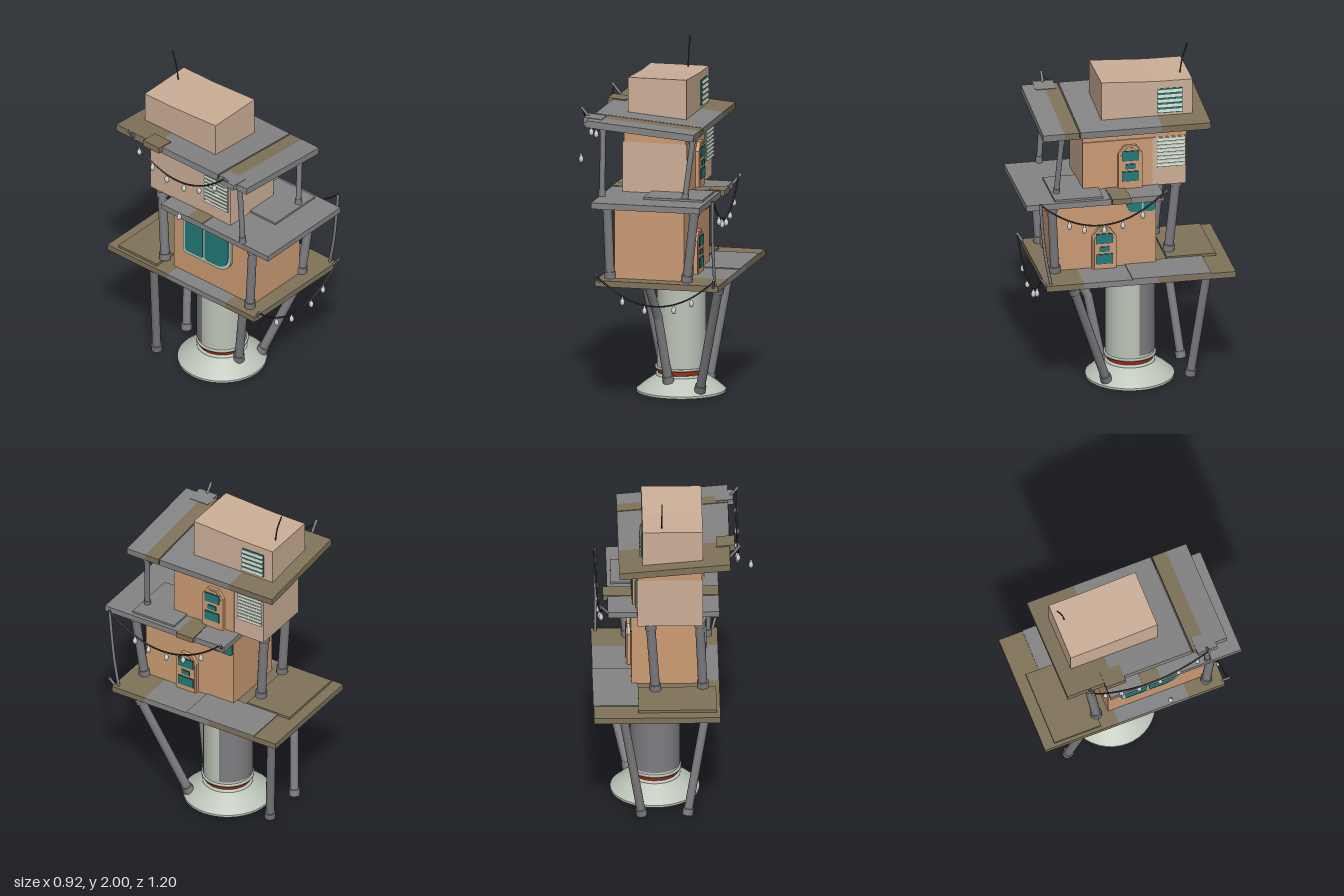
import * as THREE from 'three';

const paint = (name, color) => Object.assign(new THREE.MeshStandardMaterial({ color, side: THREE.DoubleSide }), { name });

export function createModel() {
  const root = new THREE.Group();
  root.name = 'stiltHouse';
  const grey = paint('deck grey', 0x858585);
  const brown = paint('board brown', 0x80735a);
  const tan = paint('pale tan wall', 0xcdb098);
  const orange = paint('orange tan wall', 0xcd9c74);
  const pale = paint('pale green metal', 0xbcc4b8);
  const red = paint('red ring', 0x9a2c14);
  const teal = paint('teal glass', 0x217a7a);
  const steel = paint('post grey', 0x7e7e82);
  const dark = paint('cable dark', 0x3c3c40);
  const bulbMat = paint('bulb white', 0xd2d4d2);

  const V = (x, y, z) => new THREE.Vector3(x, y, z);
  function add(name, geo, mat, parent = root) {
    const m = new THREE.Mesh(geo, mat);
    m.name = name;
    parent.add(m);
    return m;
  }
  // box given by its limits
  function box(name, mat, x0, x1, y0, y1, z0, z1, parent) {
    const g = new THREE.BoxGeometry(x1 - x0, y1 - y0, z1 - z0);
    return add(name, g.translate((x0 + x1) / 2, (y0 + y1) / 2, (z0 + z1) / 2), mat, parent);
  }
  // side outline of [z, y] points, extruded along x from x0 to x1
  function slab(name, mat, pts, x0, x1) {
    const s = new THREE.Shape(pts.map(p => new THREE.Vector2(p[0], p[1])));
    const g = new THREE.ExtrudeGeometry(s, { depth: x1 - x0, bevelEnabled: false });
    return add(name, g.rotateY(-Math.PI / 2).translate(x1, 0, 0), mat);
  }
  function rod(name, mat, a, b, r0, r1 = r0, parent = root, sides = 14) {
    const m = add(name, new THREE.CylinderGeometry(r1, r0, a.distanceTo(b), sides), mat, parent);
    m.position.copy(a).lerp(b, 0.5);
    m.quaternion.setFromUnitVectors(V(0, 1, 0), b.clone().sub(a).normalize());
    return m;
  }
  // post through several points, with a collar at both ends
  function post(name, pts, r) {
    const g = new THREE.Group();
    g.name = name;
    root.add(g);
    for (let i = 1; i < pts.length; i++) {
      rod('shaft', steel, pts[i - 1], pts[i], r, r, g);
      if (i < pts.length - 1) add('joint', new THREE.SphereGeometry(r, 14, 8), steel, g).position.copy(pts[i]);
    }
    const n = pts.length;
    const cap = (a, b) => rod('collar', steel, a, a.clone().add(b.clone().sub(a).setLength(0.04)), r * 1.25, r * 1.25, g);
    cap(pts[0], pts[1]);
    cap(pts[n - 1], pts[n - 2]);
  }

  // flared foot, red ring and central tube
  const lathe = (name, mat, prof) =>
    add(name, new THREE.LatheGeometry(prof.map(p => new THREE.Vector2(p[0], p[1])), 40), mat).position.set(0.1, 0, -0.055);
  lathe('flaredFoot', pale, [[0.255, 0.005], [0.255, 0.018]]);
  lathe('flaredSkirt', pale, [[0.255, 0.018], [0.21, 0.056], [0.145, 0.1]]);
  lathe('lowerCollar', pale, [[0.145, 0.1], [0.145, 0.113], [0.13, 0.113]]);
  lathe('redRing', red, [[0.133, 0.11], [0.133, 0.142]]);
  lathe('upperCollar', pale, [[0.13, 0.14], [0.15, 0.14], [0.15, 0.153], [0.14, 0.153]]);
  lathe('centralTube', pale, [[0.14, 0.15], [0.14, 0.7]]);
  const panel = new THREE.CylinderGeometry(0.145, 0.145, 0.52, 24, 1, true, Math.PI * 0.565, Math.PI * 0.87);
  add('tubeBackPanel', panel, steel).position.set(0.1, 0.43, -0.055);

  // slanted legs under the lower deck
  post('frontLeftLeg', [V(0.25, 0.04, 0.11), V(0.42, 0.7, 0.34)], 0.026);
  post('frontRightLeg', [V(0.065, 0.08, 0.1), V(0.02, 0.47, 0.17), V(-0.015, 0.7, 0.28)], 0.026);
  post('backLeftLeg', [V(0.18, 0.005, -0.39), V(0.29, 0.7, -0.47)], 0.025);
  post('backRightLeg', [V(-0.08, 0.005, -0.39), V(-0.2, 0.7, -0.31)], 0.025);

  // lower deck
  box('lowerDeckFront', brown, -0.265, 0.455, 0.7, 0.735, 0.28, 0.5);
  box('lowerDeckMiddle', grey, -0.265, 0.455, 0.7, 0.735, -0.15, 0.28);
  box('lowerDeckBack', brown, -0.265, 0.455, 0.7, 0.735, -0.6, -0.15);
  box('lowerDeckSheet', grey, 0.2, 0.457, 0.735, 0.741, -0.455, 0);
  box('lowerDeckBoard', brown, -0.245, 0.2, 0.735, 0.75, -0.535, -0.25);

  // lower room
  box('lowerRoom', orange, -0.175, 0.235, 0.735, 1.17, -0.18, 0.41);

  // chamfered door with three panes on the +x wall
  function door(x, y, z, h) {
    const w = 0.07;
    const outline = (k, t) => [[z - k, y], [z + k, y], [z + k, y + t - 0.05], [z + k - 0.035, y + t], [z - k + 0.035, y + t], [z - k, y + t - 0.05]];
    slab('doorFrame', orange, outline(w, h), x, x + 0.022);
    slab('door', orange, outline(w - 0.012, h - 0.012), x + 0.022, x + 0.026);
    for (const [up, hw, hh] of [[h - 0.06, 0.047, 0.028], [h - 0.125, 0.026, 0.013], [h - 0.185, 0.047, 0.028]]) {
      box('doorPaneFrame', dark, x + 0.026, x + 0.028, y + up - hh - 0.003, y + up + hh + 0.003, z - hw - 0.003, z + hw + 0.003);
      box('doorPane', teal, x + 0.028, x + 0.031, y + up - hh, y + up + hh, z - hw, z + hw);
    }
  }
  door(0.235, 0.735, 0.125, 0.245);
  door(0.205, 1.2, -0.033, 0.265);

  // windows with one rounded lower corner
  function windowPlate(name, mat, z0, z1, y0, y1, c, x0, x1) {
    const pts = [[z0, y0 + 0.012], [z0 + 0.012, y0]];
    for (let i = 0; i <= 6; i++) {
      const a = -Math.PI / 2 + i / 6 * Math.PI / 2;
      pts.push([z1 - c + c * Math.cos(a), y0 + c + c * Math.sin(a)]);
    }
    pts.push([z1, y1], [z0, y1]);
    slab(name, mat, pts, x0, x1);
  }
  windowPlate('sideWindowFrame', pale, -0.1, 0.26, 0.88, 1.14, 0.1, -0.19, -0.175);
  windowPlate('sideWindowPane', teal, -0.08, 0.05, 0.9, 1.12, 0.015, -0.194, -0.19);
  windowPlate('sideWindowPane', teal, 0.065, 0.24, 0.9, 1.12, 0.085, -0.194, -0.19);
  windowPlate('smallWindowPane', teal, -0.175, -0.107, 1.06, 1.168, 0.015, 0.235, 0.242);
  windowPlate('smallWindowPane', teal, -0.098, -0.01, 1.06, 1.168, 0.04, 0.235, 0.242);
  box('smallWindowMullion', pale, 0.235, 0.245, 1.06, 1.168, -0.107, -0.098);

  // posts between the decks
  post('frontPost', [V(-0.2, 0.735, 0.41), V(-0.21, 1.17, 0.44)], 0.026);
  post('frontPost', [V(0.25, 0.735, 0.41), V(0.305, 1.17, 0.44)], 0.026);
  post('backPost', [V(0.1, 0.75, -0.28), V(0.13, 1.2, -0.32)], 0.027);
  post('backPost', [V(-0.17, 0.75, -0.25), V(-0.15, 1.2, -0.29)], 0.027);

  // middle deck
  box('middleDeck', grey, -0.265, 0.37, 1.17, 1.205, -0.2, 0.6);
  box('middleDeckBand', brown, -0.265, 0.37, 1.205, 1.209, 0, 0.11);
  box('middleDeckStep', brown, 0.3, 0.395, 1.18, 1.212, -0.005, 0.105);
  box('middleDeckSheet', grey, 0, 0.347, 1.205, 1.217, 0.15, 0.43);

  // upper room
  box('upperRoom', tan, -0.17, 0.203, 1.2, 1.495, -0.36, 0.24);
  box('upperRoomSideWall', orange, 0.203, 0.207, 1.205, 1.495, -0.165, 0.24);
  box('upperRoomTop', orange, -0.163, 0.2, 1.495, 1.61, -0.365, 0.24);
  box('upperRoomTrim', orange, 0.2, 0.206, 1.51, 1.58, 0.04, 0.24);

  // slatted vent; dir is the side it faces
  function vent(x, dir, y0, y1, z0, z1, n, back) {
    const g = new THREE.Group();
    g.name = 'slattedVent';
    root.add(g);
    const o = d => x + dir * d;
    const plate = (name, mat, d0, d1, ...r) => box(name, mat, Math.min(o(d0), o(d1)), Math.max(o(d0), o(d1)), ...r, g);
    plate('ventBack', back, 0, 0.004, y0, y1, z0, z1);
    const step = (y1 - y0) / n;
    for (let i = 0; i < n; i++) {
      const s = add('ventSlat', new THREE.BoxGeometry(0.004, step * 0.62, z1 - z0), pale, g);
      s.position.set(o(0.011), y0 + (i + 0.5) * step, (z0 + z1) / 2);
      s.rotation.z = dir * 0.45;
    }
  }
  vent(0.203, 1, 1.31, 1.49, -0.355, -0.19, 8, pale);
  vent(-0.17, -1, 1.29, 1.48, 0.05, 0.225, 8, pale);
  vent(0.175, 1, 1.63, 1.78, -0.345, -0.2, 5, teal);

  // thin posts holding the roof
  post('roofPost', [V(0.235, 1.205, 0.4), V(0.28, 1.575, 0.375)], 0.016);
  post('roofPost', [V(-0.25, 1.205, 0.4), V(-0.25, 1.615, 0.375)], 0.016);

  // tilted roof of boards and sheets
  const roof = new THREE.Group();
  roof.name = 'roof';
  roof.position.y = 1.61;
  roof.rotation.z = -0.085;
  root.add(roof);
  for (const [mat, z0, z1] of [[brown, -0.485, -0.2], [grey, -0.2, 0.272], [brown, 0.28, 0.365], [grey, 0.365, 0.49]])
    box('roofPanel', mat, -0.325, 0.31, -0.02, 0.02, z0, z1, roof);
  box('roofPatch', brown, -0.355, -0.25, -0.01, 0.026, -0.26, -0.14, roof);
  box('roofPatch', grey, -0.355, -0.25, -0.01, 0.023, 0.3, 0.42, roof);

  // rooftop box with a sloping top, and antenna
  slab('rooftopBox', tan, [[0.125, 1.6], [0.125, 1.845], [-0.19, 1.827], [-0.405, 1.825], [-0.405, 1.6]], -0.167, 0.175);
  const mast = new THREE.CatmullRomCurve3([V(0.065, 1.82, -0.353), V(0.065, 1.91, -0.367), V(0.065, 2, -0.395)]);
  add('antenna', new THREE.TubeGeometry(mast, 8, 0.004, 6), dark);

  // hanging lights
  const bulbShape = [[0, -0.046], [0.008, -0.043], [0.014, -0.03], [0.012, -0.015], [0.006, -0.006], [0.006, 0.006], [0, 0.006]];
  const bulbGeo = new THREE.LatheGeometry(bulbShape.map(p => new THREE.Vector2(p[0], p[1])), 10);
  const bulb = p => add('bulb', bulbGeo, bulbMat).position.copy(p);
  function lightString(a, b, sag, spots) {
    const at = t => a.clone().lerp(b, t).add(V(0, -4 * sag * t * (1 - t), 0));
    const pts = Array.from({ length: 13 }, (_, i) => at(i / 12));
    add('lightCable', new THREE.TubeGeometry(new THREE.CatmullRomCurve3(pts), 36, 0.005, 6), dark);
    for (const t of spots) bulb(at(t).add(V(0, -0.008, 0)));
  }
  lightString(V(-0.37, 1.69, -0.35), V(-0.37, 1.69, 0.36), 0.17, [0.11, 0.25, 0.4, 0.58, 0.74, 0.9]);
  bulb(V(-0.45, 1.375, 0.095));
  lightString(V(0.4, 1.24, -0.2), V(0.435, 1.23, 0.53), 0.165, [0.18, 0.34, 0.49, 0.65, 0.77]);
  lightString(V(-0.25, 0.765, 0.525), V(0.435, 0.765, 0.525), 0.16, [0.22, 0.41, 0.66, 0.81]);

  // short hooks for the cables
  for (const [a, b] of [
    [V(-0.325, 1.64, -0.35), V(-0.382, 1.71, -0.35)],
    [V(-0.325, 1.64, 0.36), V(-0.382, 1.71, 0.36)],
    [V(0.365, 1.19, -0.18), V(0.415, 1.25, -0.205)],
    [V(-0.235, 0.72, 0.49), V(-0.255, 0.78, 0.53)],
    [V(0.425, 0.72, 0.49), V(0.438, 0.775, 0.53)],
  ]) rod('cableHook', steel, a, b, 0.008, 0.008, root, 8);

  // bowed pole beside the front corner
  const pole = new THREE.CatmullRomCurve3([V(0.43, 0.735, 0.47), V(0.428, 0.9, 0.5), V(0.428, 1.08, 0.52), V(0.432, 1.235, 0.53)]);
  add('bowedPole', new THREE.TubeGeometry(pole, 14, 0.009, 8), steel);

  return root;
}
